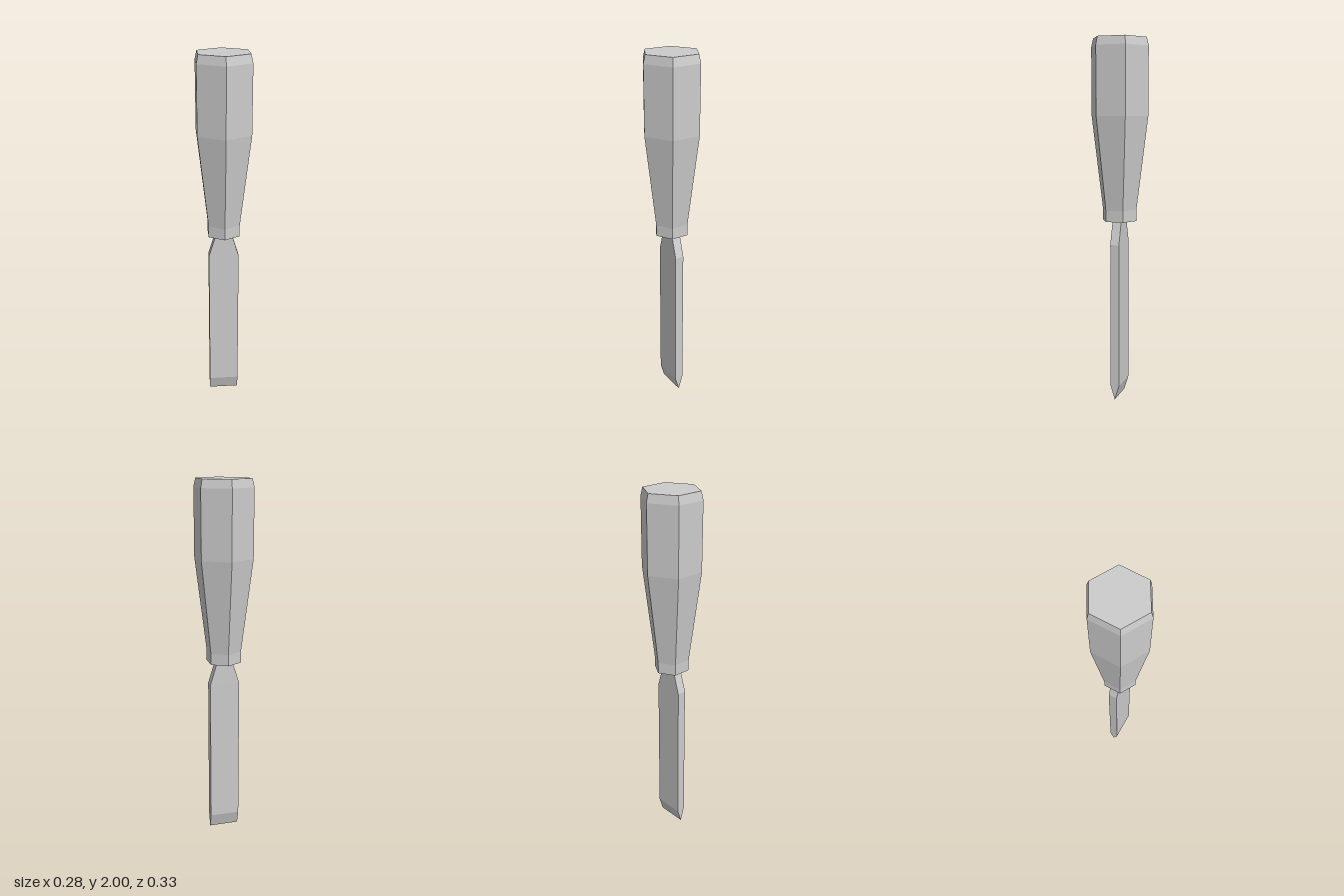
import * as THREE from 'three';

const material = new THREE.MeshStandardMaterial({ color: 0xcccccc, flatShading: true });

function addPart(group, name, geometry) {
  const flat = geometry.toNonIndexed();
  flat.computeVertexNormals();
  const mesh = new THREE.Mesh(flat, material);
  mesh.name = name;
  group.add(mesh);
}

// Hexagonal grip, one corner facing the front: [radius, height] from bottom to top
function handleGeometry() {
  const profile = [
    [0, 1.017], [0.098, 1.017], [0.098, 1.08], [0.163, 1.59],
    [0.163, 1.955], [0.152, 2], [0, 2],
  ].map(([r, y]) => new THREE.Vector2(r, y));
  return new THREE.LatheGeometry(profile, 6);
}

// Flat blade: a box whose rows are moved to [height, half width, half thickness]
function bladeGeometry() {
  const rows = [
    [0, 0.083, 0.0005],
    [0.08, 0.083, 0.025],
    [0.89, 0.083, 0.025],
    [1.02, 0.043, 0.025],
  ];
  const geometry = new THREE.BoxGeometry(2, 3, 2, 1, 3, 1);
  const pos = geometry.attributes.position;
  for (let i = 0; i < pos.count; i++) {
    const [y, halfWidth, halfDepth] = rows[Math.round(pos.getY(i) + 1.5)];
    pos.setXYZ(i, pos.getX(i) * halfWidth, y, pos.getZ(i) * halfDepth);
  }
  return geometry;
}

export function createModel() {
  const group = new THREE.Group();
  group.name = 'chisel';
  addPart(group, 'handle', handleGeometry());
  addPart(group, 'blade', bladeGeometry());
  return group;
}
